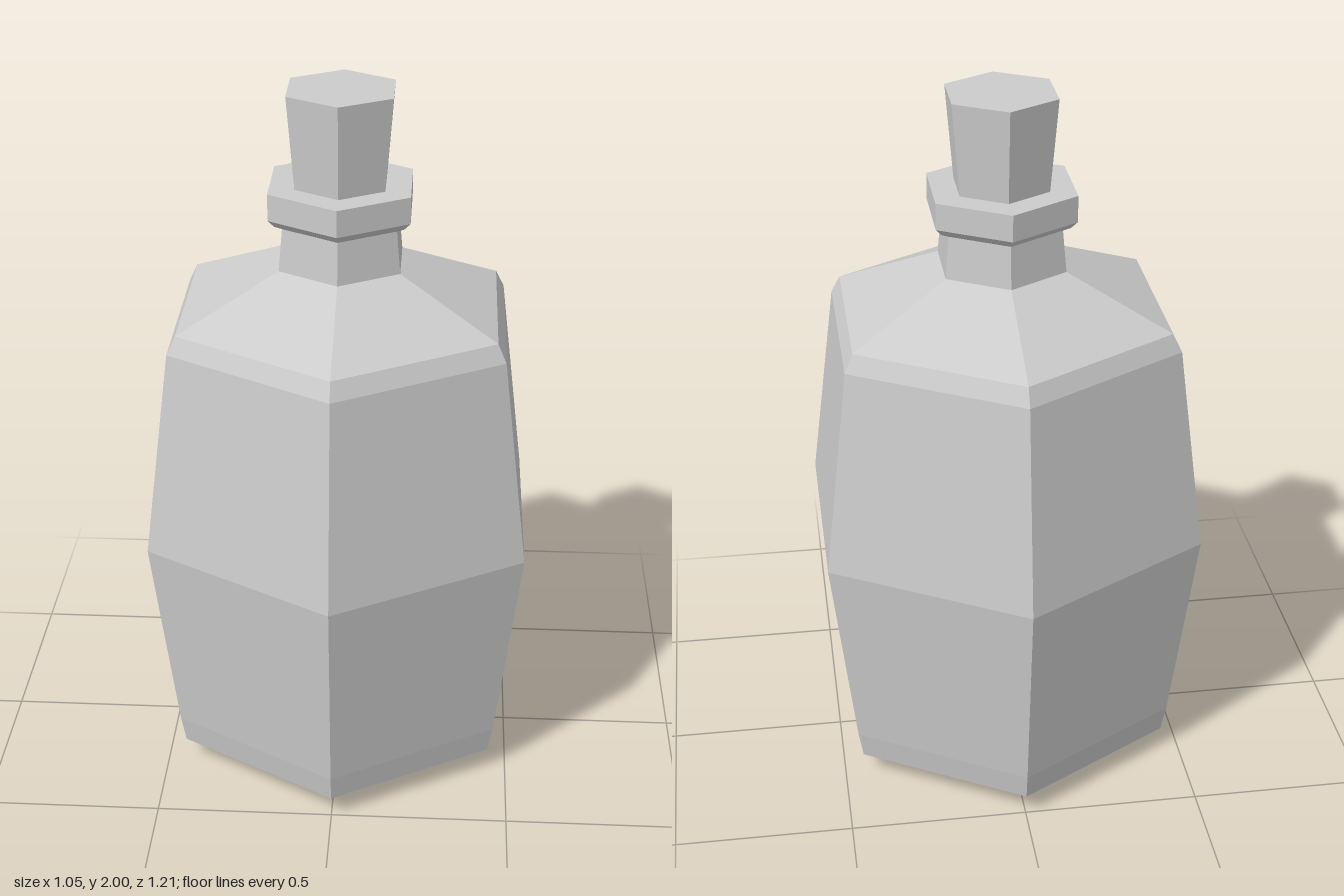
import * as THREE from 'three';

const SIDES = 6;

// Six-sided turned part from [radius, height] pairs, listed bottom to top, corners on +z and -z
function turned(name, profile, material) {
  const points = profile.map(([r, y]) => new THREE.Vector2(r, y));
  const mesh = new THREE.Mesh(new THREE.LatheGeometry(points, SIDES), material);
  mesh.name = name;
  return mesh;
}

export function createModel() {
  const material = new THREE.MeshStandardMaterial({ color: 0xcccccc, flatShading: true });
  const bottle = new THREE.Group();
  bottle.name = 'bottle';

  // Bulging body with bevelled base and sloping shoulder
  bottle.add(turned('body', [
    [0, 0], [0.36, 0.005], [0.515, 0.07], [0.53, 0.15], [0.607, 0.745],
    [0.525, 1.335], [0.498, 1.385], [0.19, 1.515],
  ], material));

  // Short neck, tapering slightly upwards
  bottle.add(turned('neck', [[0.19, 1.515], [0.178, 1.635]], material));

  // Collar with a bevelled underside and flat top
  bottle.add(turned('collar', [
    [0.178, 1.635], [0.2, 1.645], [0.22, 1.665], [0.22, 1.74], [0, 1.74],
  ], material));

  // Stopper, wider at the top
  bottle.add(turned('stopper', [[0.14, 1.74], [0.163, 2], [0, 2]], material));

  return bottle;
}
